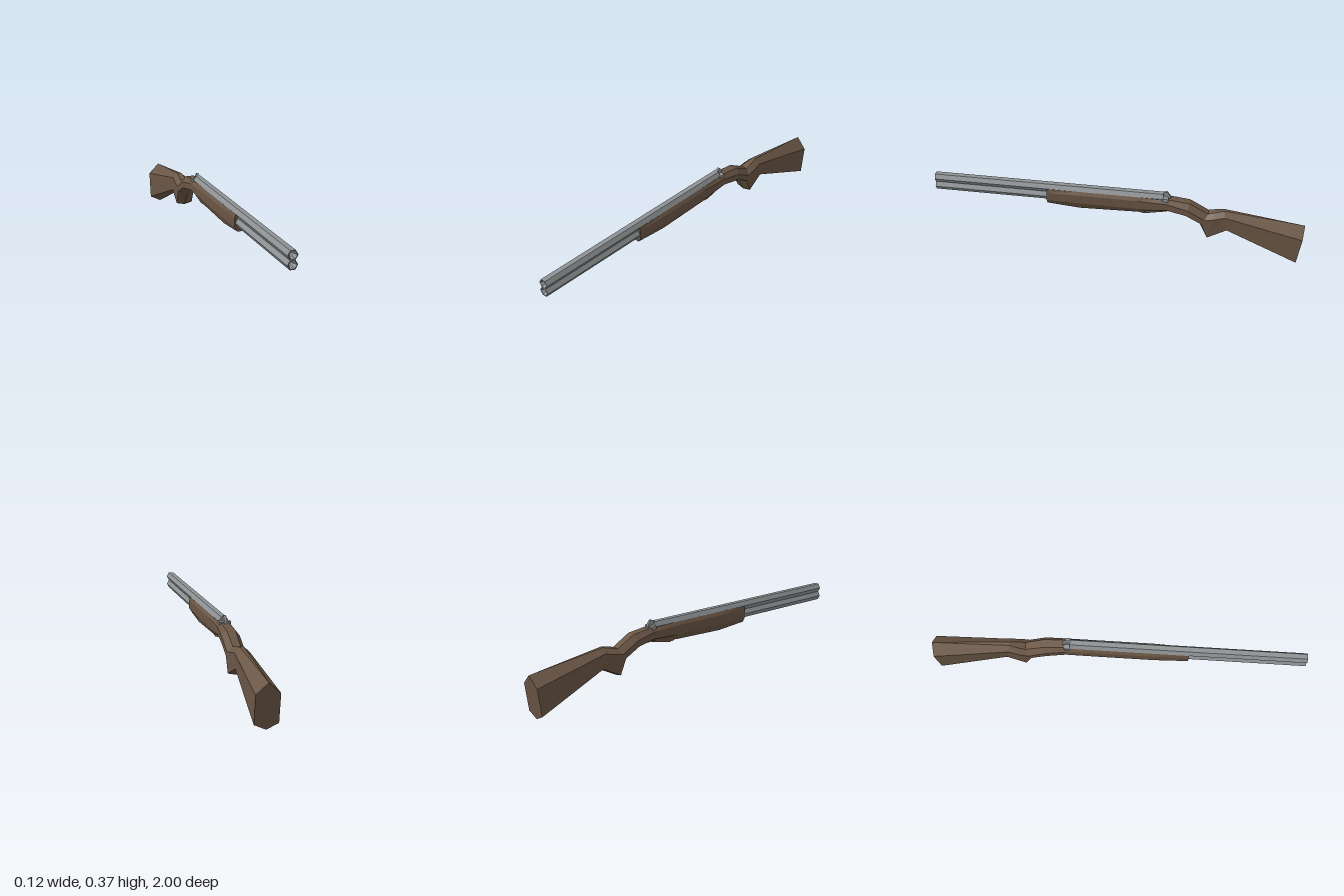
import * as THREE from 'three';

// Flat facets: every triangle keeps its own normal
function faceted(geometry) {
  const flat = geometry.index ? geometry.toNonIndexed() : geometry;
  flat.computeVertexNormals();
  return flat;
}

function mesh(name, geometry, material) {
  const m = new THREE.Mesh(faceted(geometry), material);
  m.name = name;
  return m;
}

// Eight-cornered ring; z slides from the top value to the bottom value
function ring([zTop, yTop, topW, shoulderY, w, lowY, yBot, botW, zBot]) {
  const half = [[botW, yBot], [w, lowY], [w, shoulderY], [topW, yTop]];
  const loop = [...half, ...half.slice().reverse().map(([x, y]) => [-x, y])];
  return loop.map(([x, y]) => [x, y, THREE.MathUtils.lerp(zTop, zBot, (yTop - y) / (yTop - yBot))]);
}

// Skin a list of rings running front to back, with both ends closed
function loft(sections) {
  const rings = sections.map(ring);
  const pos = [];
  const tri = (a, b, c) => pos.push(...a, ...b, ...c);
  for (let i = 0; i < rings.length - 1; i++) {
    const a = rings[i], b = rings[i + 1];
    for (let j = 0; j < a.length; j++) {
      const k = (j + 1) % a.length;
      tri(a[j], b[j], b[k]);
      tri(a[j], b[k], a[k]);
    }
  }
  const first = rings[0], last = rings[rings.length - 1];
  for (let j = 1; j < first.length - 1; j++) {
    tri(first[0], first[j], first[j + 1]);
    tri(last[0], last[j + 1], last[j]);
  }
  const g = new THREE.BufferGeometry();
  g.setAttribute('position', new THREE.Float32BufferAttribute(pos, 3));
  return g;
}

// Plate cut from a (z, y) outline, centred on x = 0
function sidePlate(outline, width) {
  const shape = new THREE.Shape(outline.map(([z, y]) => new THREE.Vector2(z, y)));
  return new THREE.ExtrudeGeometry(shape, { depth: width, bevelEnabled: false })
    .translate(0, 0, -width / 2)
    .rotateY(-Math.PI / 2);
}

// Six-sided tube with a tapering bore at the muzzle
function barrelGeometry(back, front) {
  const profile = [[0, back], [0.027, back], [0.027, front], [0.022, front], [0, front - 0.05]];
  return new THREE.LatheGeometry(profile.map(([r, z]) => new THREE.Vector2(r, z)), 6)
    .rotateY(Math.PI / 6)
    .rotateX(Math.PI / 2);
}

export function createModel() {
  const group = new THREE.Group();
  const wood = new THREE.MeshStandardMaterial({ color: 0x6a5645 });
  wood.name = 'walnut';
  const steel = new THREE.MeshStandardMaterial({ color: 0x8e9294 });
  steel.name = 'steel';

  // Fore-end, wrist, grip and butt in one faceted body
  group.add(mesh('stock', loft([
    // zTop, yTop, topW, shoulderY, w, lowY, yBot, botW, zBot
    [0.38, 0.338, 0.025, 0.315, 0.031, 0.27, 0.243, 0.015, 0.38],
    [0.20, 0.338, 0.027, 0.32, 0.037, 0.27, 0.23, 0.018, 0.20],
    [-0.10, 0.338, 0.027, 0.32, 0.037, 0.27, 0.24, 0.02, -0.10],
    [-0.27, 0.336, 0.022, 0.315, 0.039, 0.278, 0.26, 0.015, -0.27],
    [-0.39, 0.322, 0.022, 0.292, 0.047, 0.26, 0.245, 0.004, -0.37],
    [-0.49, 0.267, 0.02, 0.24, 0.047, 0.215, 0.193, 0, -0.445],
    [-0.53, 0.278, 0.017, 0.25, 0.046, 0.132, 0.122, 0, -0.49],
    [-0.575, 0.288, 0.01, 0.262, 0.038, 0.185, 0.176, 0, -0.595],
    [-1.0, 0.235, 0, 0.18, 0.06, 0.032, 0.003, 0, -0.968],
  ]), wood));

  // Shallow guard under the action
  group.add(mesh('triggerGuard', sidePlate(
    [[-0.09, 0.26], [-0.12, 0.238], [-0.15, 0.233], [-0.27, 0.258], [-0.25, 0.28]], 0.036), wood));

  // Stacked barrels
  [['upperBarrel', 0.338, -0.25], ['lowerBarrel', 0.2905, -0.2]].forEach(([name, y, back]) => {
    const barrel = mesh(name, barrelGeometry(back, 1), steel);
    barrel.position.y = y;
    group.add(barrel);
  });

  // Opening lever and its cross latch behind the barrels
  group.add(mesh('lever', sidePlate(
    [[-0.235, 0.358], [-0.29, 0.33], [-0.285, 0.348], [-0.268, 0.372], [-0.258, 0.372]].reverse(), 0.013), steel));
  group.add(mesh('latch', new THREE.BoxGeometry(0.062, 0.018, 0.03).translate(0, 0.333, -0.262), steel));

  return group;
}
